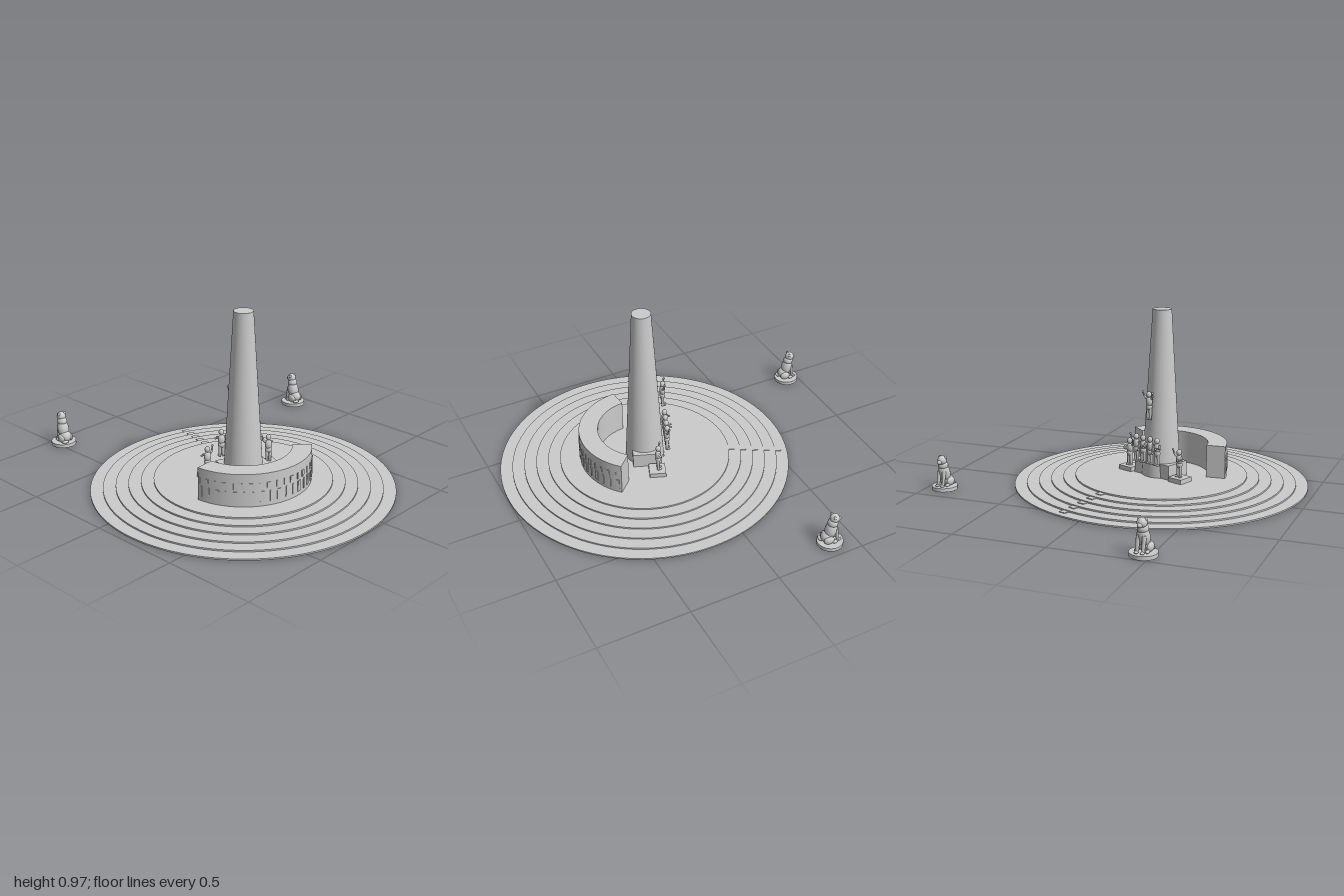
import * as THREE from 'three';

const material = new THREE.MeshStandardMaterial({ color: 0xcccccc });

function add(parent, name, geometry, x = 0, y = 0, z = 0) {
  const mesh = new THREE.Mesh(geometry, material);
  mesh.name = name;
  mesh.position.set(x, y, z);
  parent.add(mesh);
  return mesh;
}

function group(parent, name, x = 0, y = 0, z = 0, turn = 0) {
  const g = new THREE.Group();
  g.name = name;
  g.position.set(x, y, z);
  g.rotation.y = turn;
  parent.add(g);
  return g;
}

function blob(parent, name, x, y, z, rx, ry, rz) {
  const mesh = add(parent, name, new THREE.SphereGeometry(1, 16, 12), x, y, z);
  mesh.scale.set(rx, ry, rz);
  return mesh;
}

// Tapered rod between two points
function limb(parent, name, from, to, r0, r1) {
  const a = new THREE.Vector3(...from), b = new THREE.Vector3(...to);
  const d = b.clone().sub(a);
  const mesh = add(parent, name, new THREE.CylinderGeometry(r1, r0, d.length(), 10));
  mesh.position.copy(a).add(b).multiplyScalar(0.5);
  mesh.quaternion.setFromUnitVectors(new THREE.Vector3(0, 1, 0), d.normalize());
}

// Standing figure, 0.155 tall, facing +z; each arm is given by its hand position
function standingFigure(parent, name, x, y, z, hands) {
  const f = group(parent, name, x, y, z);
  for (const s of [-1, 1]) {
    limb(f, 'leg', [s * 0.010, 0, 0], [s * 0.008, 0.07, 0], 0.007, 0.010);
    blob(f, 'foot', s * 0.010, 0.005, 0.006, 0.008, 0.005, 0.014);
  }
  blob(f, 'hips', 0, 0.07, 0, 0.019, 0.019, 0.016);
  blob(f, 'torso', 0, 0.098, 0, 0.020, 0.029, 0.016);
  blob(f, 'head', 0, 0.139, 0.002, 0.014, 0.017, 0.015);
  hands.forEach((hand, i) => {
    const s = i ? 1 : -1;
    const elbow = [s * 0.029, (0.115 + hand[1]) / 2 - 0.006, hand[2] / 2];
    limb(f, 'upperArm', [s * 0.018, 0.115, 0], elbow, 0.006, 0.005);
    limb(f, 'forearm', elbow, [s * hand[0], hand[1], hand[2]], 0.005, 0.004);
    blob(f, 'hand', s * hand[0], hand[1], hand[2], 0.006, 0.006, 0.006);
  });
}

// Sitting animal on a round base, facing +z
function sittingAnimal(parent, x, z, turn) {
  const a = group(parent, 'sittingAnimal', x, 0, z, turn);
  add(a, 'roundBase', new THREE.CylinderGeometry(0.07, 0.07, 0.02, 40), 0, 0.01, 0);
  blob(a, 'rump', 0, 0.05, -0.018, 0.034, 0.034, 0.036);
  const torso = blob(a, 'torso', 0, 0.092, 0.0, 0.033, 0.055, 0.032);
  torso.rotation.x = 0.25;
  blob(a, 'mane', 0, 0.135, 0.008, 0.028, 0.028, 0.028);
  blob(a, 'head', 0, 0.164, 0.016, 0.025, 0.026, 0.026);
  blob(a, 'muzzle', 0, 0.157, 0.037, 0.013, 0.012, 0.016);
  for (const s of [-1, 1]) {
    blob(a, 'ear', s * 0.019, 0.18, 0.008, 0.008, 0.01, 0.007);
    blob(a, 'haunch', s * 0.027, 0.043, -0.018, 0.015, 0.024, 0.029);
    blob(a, 'hindPaw', s * 0.029, 0.027, 0.014, 0.010, 0.008, 0.017);
    limb(a, 'frontLeg', [s * 0.016, 0.022, 0.036], [s * 0.016, 0.105, 0.022], 0.008, 0.011);
    blob(a, 'frontPaw', s * 0.016, 0.026, 0.042, 0.010, 0.007, 0.014);
  }
  blob(a, 'tail', 0.018, 0.028, -0.049, 0.02, 0.008, 0.011);
}

export function createModel() {
  const model = new THREE.Group();
  model.name = 'monument';
  const site = group(model, 'site', 0.188, 0, 0.155);

  // Round stepped platform
  const rise = 0.05 / 6;
  const profile = [new THREE.Vector2(0, 0)];
  for (let i = 0; i < 6; i++) {
    const r = 0.81 - 0.067 * i;
    profile.push(new THREE.Vector2(r, i * rise), new THREE.Vector2(r, (i + 1) * rise));
  }
  profile.push(new THREE.Vector2(0, 0.05));
  const platform = new THREE.LatheGeometry(profile, 96).toNonIndexed();
  platform.computeVertexNormals();
  add(site, 'steppedPlatform', platform);

  // Tapered tower
  add(site, 'tower', new THREE.CylinderGeometry(0.052, 0.107, 0.92, 48), 0, 0.51, 0);

  // Curved wall
  const a0 = THREE.MathUtils.degToRad(-44.5), a1 = THREE.MathUtils.degToRad(86.7);
  const arc = new THREE.Shape();
  arc.absarc(0, 0, 0.362, a0, a1, false);
  arc.absarc(0, 0, 0.257, a1, a0, true);
  const wall = new THREE.ExtrudeGeometry(arc, { depth: 0.18, bevelEnabled: false, curveSegments: 48 });
  wall.rotateX(Math.PI / 2);
  add(site, 'curvedWall', wall, 0, 0.23, 0);

  // Two rows of shallow relief blocks on the wall's outer face
  const reliefs = group(site, 'wallReliefs');
  const count = 18;
  for (let i = 0; i < count; i++) {
    for (const row of [0, 1]) {
      const t = a0 + (a1 - a0) * (i + 0.5 + 0.25 * row) / count;
      const wide = (i * 7 + row * 3) % 5 < 2 ? 0.02 : 0.007;
      const tall = row ? 0.035 : 0.06;
      const block = add(reliefs, 'reliefBlock', new THREE.BoxGeometry(0.008, tall, wide),
        0.362 * Math.cos(t), row ? 0.163 : 0.103, 0.362 * Math.sin(t));
      block.rotation.y = -t;
    }
  }

  // Sculpture side of the tower, turned away from the wall
  const front = group(site, 'sculptureSide', 0, 0, 0, THREE.MathUtils.degToRad(-111.2));
  add(front, 'plinth', new THREE.BoxGeometry(0.245, 0.08, 0.155), 0, 0.09, 0.005);

  const raised = [0.034, 0.152, 0.012], lowered = [0.024, 0.068, 0.012], forward = [0.012, 0.1, 0.03];
  for (const s of [-1, 1]) {
    add(front, 'sidePedestal', new THREE.BoxGeometry(0.09, 0.025, 0.09), s * 0.18, 0.0625, 0.055);
    standingFigure(front, 'pedestalFigure', s * 0.18, 0.075, 0.06,
      s < 0 ? [forward, raised] : [raised, forward]);
  }

  // Row of figures and the single high figure
  const poses = [[raised, lowered], [lowered, forward], [forward, lowered], [lowered, forward]];
  poses.forEach((hands, i) =>
    standingFigure(front, 'rowFigure', -0.078 + 0.05 * i, 0.13, 0.118, hands));
  standingFigure(front, 'highFigure', 0, 0.375, 0.104, [raised, raised]);

  // Narrow stair of half steps crossing the platform's edge
  const stair = group(front, 'narrowStair');
  for (let i = 0; i < 5; i++) {
    const r = 0.81 - 0.067 * (i + 1);
    add(stair, 'halfStep', new THREE.BoxGeometry(0.04, rise / 2, 0.036), 0, (i + 1.25) * rise, r + 0.014);
  }

  // Two sitting animals outside the platform
  const facing = THREE.MathUtils.degToRad(-98);
  sittingAnimal(model, -0.93, 0.465, facing);
  sittingAnimal(model, -0.365, -0.9, facing);

  return model;
}
